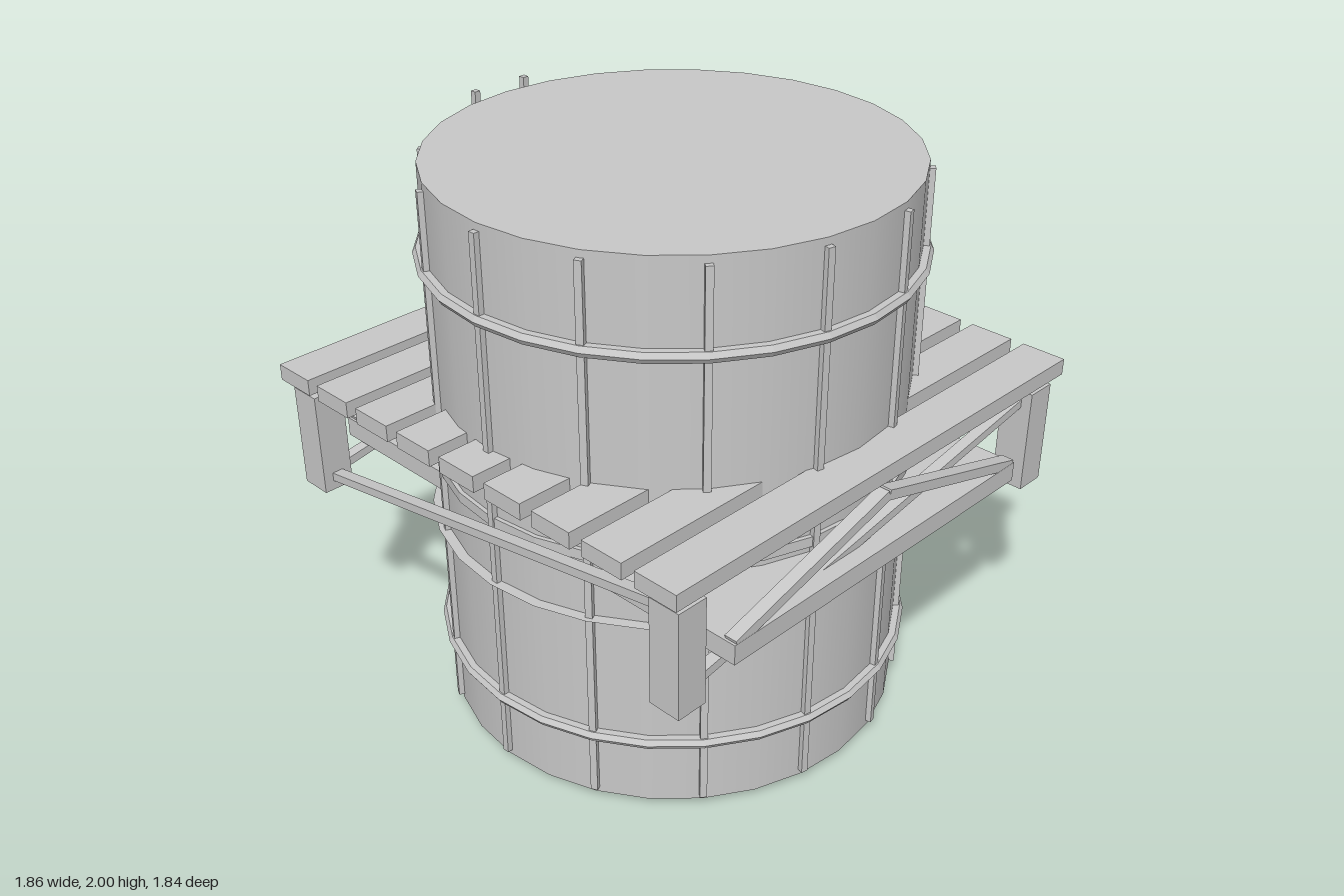
import * as THREE from 'three';

export function createModel() {
  const model = new THREE.Group();
  const steel = new THREE.MeshStandardMaterial({ color: 0xc8c8c8 });
  steel.name = 'paleGreySteel';

  const add = (name, geometry, x = 0, y = 0, z = 0) => {
    const mesh = new THREE.Mesh(geometry, steel);
    mesh.name = name;
    mesh.position.set(x, y, z);
    model.add(mesh);
    return mesh;
  };
  const box = (name, w, h, d, x, y, z) => add(name, new THREE.BoxGeometry(w, h, d), x, y, z);

  // Square bar running between two points
  const bar = (name, a, b, w, h) => {
    const from = new THREE.Vector3(...a), to = new THREE.Vector3(...b);
    const mesh = box(name, w, h, from.distanceTo(to), 0, 0, 0);
    mesh.position.copy(from).add(to).multiplyScalar(0.5);
    mesh.lookAt(to);
    return mesh;
  };

  // Hoop around the drum from a closed profile of [radius, height] points
  const hoop = (name, y, profile) => {
    const points = [...profile, profile[0]].map(([r, h]) => new THREE.Vector2(r, h));
    const flat = new THREE.LatheGeometry(points, 28).toNonIndexed();
    flat.computeVertexNormals();
    return add(name, flat, 0, y, 0);
  };

  // Drum
  add('drum', new THREE.CylinderGeometry(0.792, 0.792, 1.95, 28), 0, 1.005, 0);

  // Vertical ribs
  const ribCount = 14;
  for (let i = 0; i < ribCount; i++) {
    const a = ((i + 0.5) / ribCount) * Math.PI * 2;
    const rib = box('rib', 0.024, 1.905, 0.03, Math.sin(a) * 0.795, 1.003, Math.cos(a) * 0.795);
    rib.rotation.y = a;
  }

  // Hoops, flange and support ring
  for (const y of [0.283, 1.68]) {
    hoop('hoop', y, [[0.78, -0.018], [0.815, -0.018], [0.826, 0], [0.815, 0.018], [0.78, 0.018]]);
  }
  hoop('flange', 0.745, [[0.78, -0.01], [0.8, -0.01], [0.828, 0.008], [0.78, 0.008]]);
  hoop('supportRing', 0.98, [[0.77, -0.018], [0.806, -0.018], [0.806, 0.018], [0.77, 0.018]]);

  // Deck slats
  for (let i = -4; i <= 4; i++) box('deckSlat', 1.855, 0.057, 0.16, 0, 1.207, i * 0.21);

  // Corner posts
  for (const x of [-0.842, 0.842]) {
    for (const z of [-0.842, 0.842]) box('cornerPost', 0.11, 0.37, 0.115, x, 0.96, z);
  }

  // Bracket plates with gabled trusses and diagonal braces, front and back
  for (const s of [1, -1]) {
    box('bracketPlate', 1.38, 0.07, 0.54, 0, 0.9, s * 0.65);
    for (const x of [-0.68, 0.68]) {
      bar('trussBar', [x, 0.93, s * 0.897], [0, 1.122, s * 0.897], 0.045, 0.035);
    }
    bar('endBrace', [-0.8, 0.822, s * 0.842], [0.8, 1.1, s * 0.842], 0.04, 0.03);
  }

  // Side diagonal braces
  for (const x of [-0.842, 0.842]) {
    bar('sideBrace', [x, 1.1, 0.8], [x, 0.822, -0.8], 0.04, 0.03);
  }

  // Ladder on the back
  for (const x of [-0.107, 0.107]) box('ladderRail', 0.022, 2, 0.022, x, 1, -0.825);
  for (let i = 0; i < 8; i++) box('ladderRung', 0.21, 0.018, 0.018, 0, 0.16 + i * 0.235, -0.825);

  return model;
}
